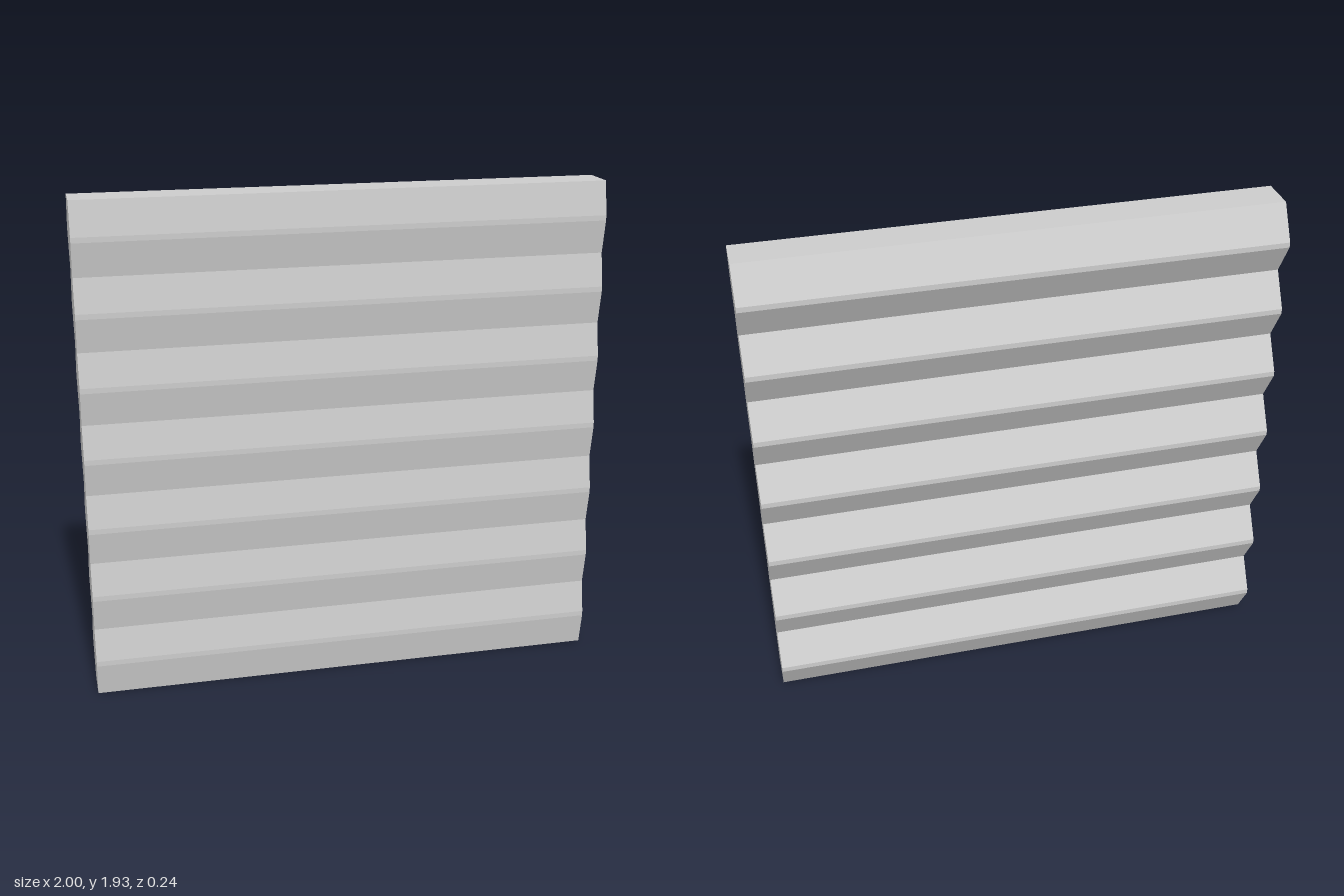
import * as THREE from 'three';

const LENGTH = 2, HEIGHT = 1.93, COURSES = 7;
const PITCH = HEIGHT / COURSES;
const NOSE = 0.01; // half height of the narrow flat on each ridge
const FRONT = { groove: 0.097, ridge: 0.12 };
const BACK = { groove: -0.046, ridge: -0.12 };

// Zigzag edge from bottom to top, as [z, y] points
function ridgedEdge({ groove, ridge }) {
  const points = [[groove, 0]];
  for (let i = 0; i < COURSES; i++) {
    const mid = (i + 0.5) * PITCH;
    points.push([ridge, mid - NOSE], [ridge, mid + NOSE], [groove, (i + 1) * PITCH]);
  }
  return points;
}

export function createModel() {
  const model = new THREE.Group();
  model.name = 'ridgedWall';

  // Closed cross-section: up the back, down the front (shape x is -z)
  const outline = [...ridgedEdge(BACK), ...ridgedEdge(FRONT).reverse()];
  const section = new THREE.Shape(outline.map(([z, y]) => new THREE.Vector2(-z, y)));

  // Run the section along x
  const geometry = new THREE.ExtrudeGeometry(section, { depth: LENGTH, bevelEnabled: false });
  geometry.translate(0, 0, -LENGTH / 2);
  geometry.rotateY(Math.PI / 2);

  const wall = new THREE.Mesh(
    geometry,
    new THREE.MeshStandardMaterial({ color: 0xcccccc, flatShading: true })
  );
  wall.name = 'wallPanel';
  model.add(wall);
  return model;
}
